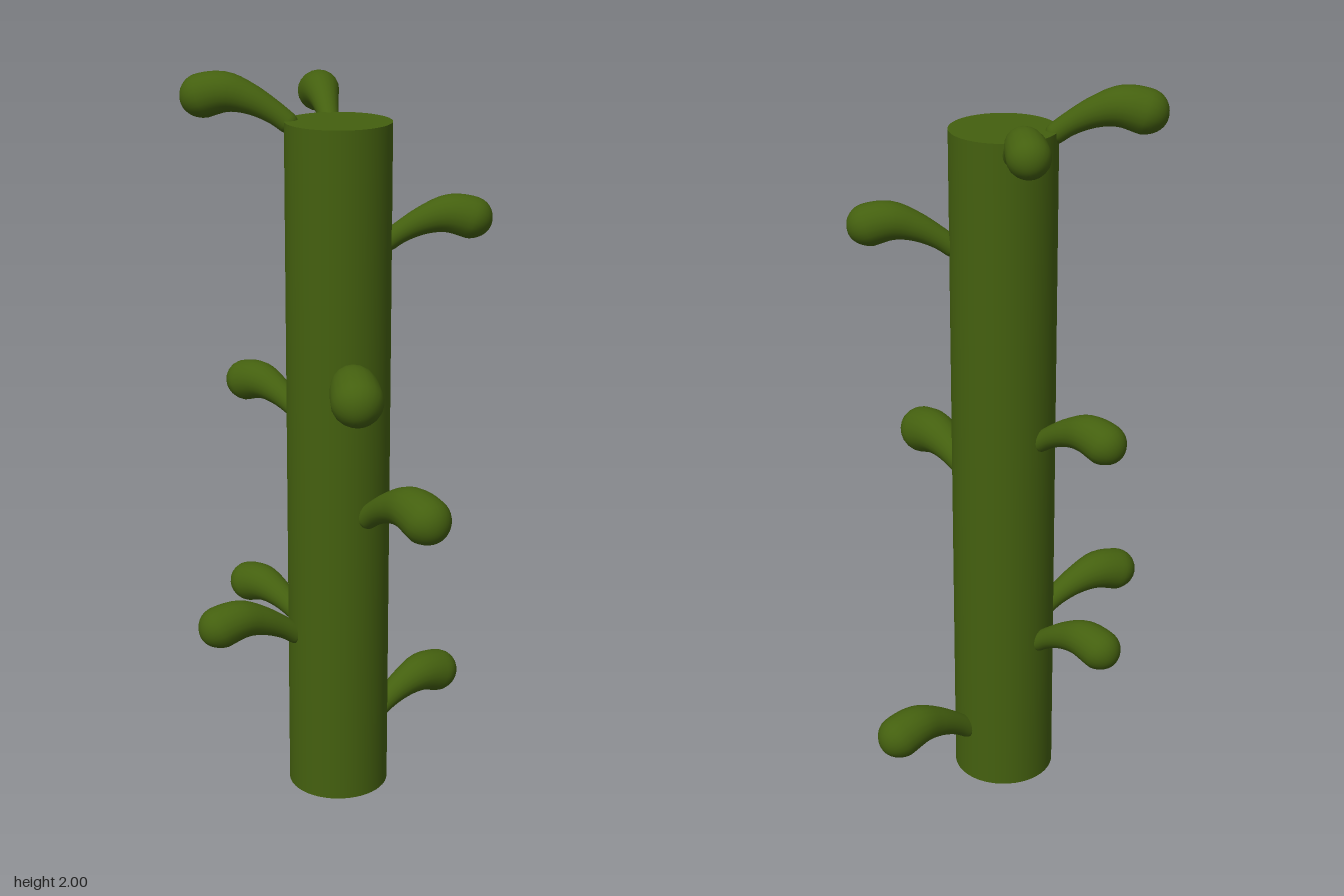
import * as THREE from 'three';
import { ParametricGeometry } from 'three/addons/geometries/ParametricGeometry.js';

const TRUNK_Z = -0.013;
const TRUNK_R = 0.139;

// Club-shaped leaf in its own plane: x = distance outward, y = height below the crest, z = radius
const leafCurve = new THREE.CatmullRomCurve3([
  new THREE.Vector3(0, -0.140, 0.026),
  new THREE.Vector3(0.055, -0.099, 0.029),
  new THREE.Vector3(0.12, -0.066, 0.039),
  new THREE.Vector3(0.18, -0.052, 0.051),
  new THREE.Vector3(0.235, -0.062, 0.056),
  new THREE.Vector3(0.288, -0.084, 0.054),
]);

// Rounds off both ends of the leaf
function endRounding(t) {
  const tip = Math.max(0, (t - 0.8) / 0.2);
  const root = Math.max(0, (0.08 - t) / 0.08);
  return Math.sqrt(Math.max(0, 1 - tip * tip)) * Math.sqrt(Math.max(0, 1 - root * root));
}

function makeLeafGeometry() {
  return new ParametricGeometry((u, v, target) => {
    // Cosine spacing puts more rings at the rounded ends
    const t = (1 - Math.cos(Math.PI * (0.002 + 0.996 * v))) / 2;
    const p = leafCurve.getPoint(t);
    const d = leafCurve.getTangent(t);
    const len = Math.hypot(d.x, d.y);
    const radius = p.z * endRounding(t);
    const up = Math.cos(u * Math.PI * 2) * radius;
    const side = Math.sin(u * Math.PI * 2) * radius;
    target.set(p.x - (d.y / len) * up, p.y + (d.x / len) * up, side);
  }, 20, 32);
}

export function createModel() {
  const group = new THREE.Group();
  group.name = 'leafyStalk';
  const green = new THREE.MeshStandardMaterial({ color: 0x44600f });

  // Stalk
  const stalk = new THREE.Mesh(new THREE.CylinderGeometry(TRUNK_R, TRUNK_R, 1.88, 48), green);
  stalk.name = 'stalk';
  stalk.position.set(0, 0.94, TRUNK_Z);
  group.add(stalk);

  // Leaves: [bulb x, bulb z, crest height, scale]
  const leaves = [
    [-0.340, 0.083, 2.000, 1.03],
    [-0.188, -0.293, 1.965, 0.97],
    [0.310, -0.158, 1.692, 0.99],
    [0.205, 0.325, 1.332, 1.20],
    [-0.328, -0.117, 1.180, 1.00],
    [0.333, 0.175, 0.982, 1.16],
    [-0.228, 0.260, 0.602, 1.04],
    [-0.328, -0.117, 0.567, 1.00],
    [0.172, -0.337, 0.290, 1.08],
  ];
  const leafGeometry = makeLeafGeometry();
  leaves.forEach(([x, z, crest, scale], i) => {
    const angle = Math.atan2(z - TRUNK_Z, x);
    const leaf = new THREE.Mesh(leafGeometry, green);
    leaf.name = `leaf${i + 1}`;
    leaf.position.set(Math.cos(angle) * 0.11, crest, TRUNK_Z + Math.sin(angle) * 0.11);
    leaf.rotation.y = -angle;
    leaf.scale.setScalar(scale);
    group.add(leaf);
  });
  return group;
}
